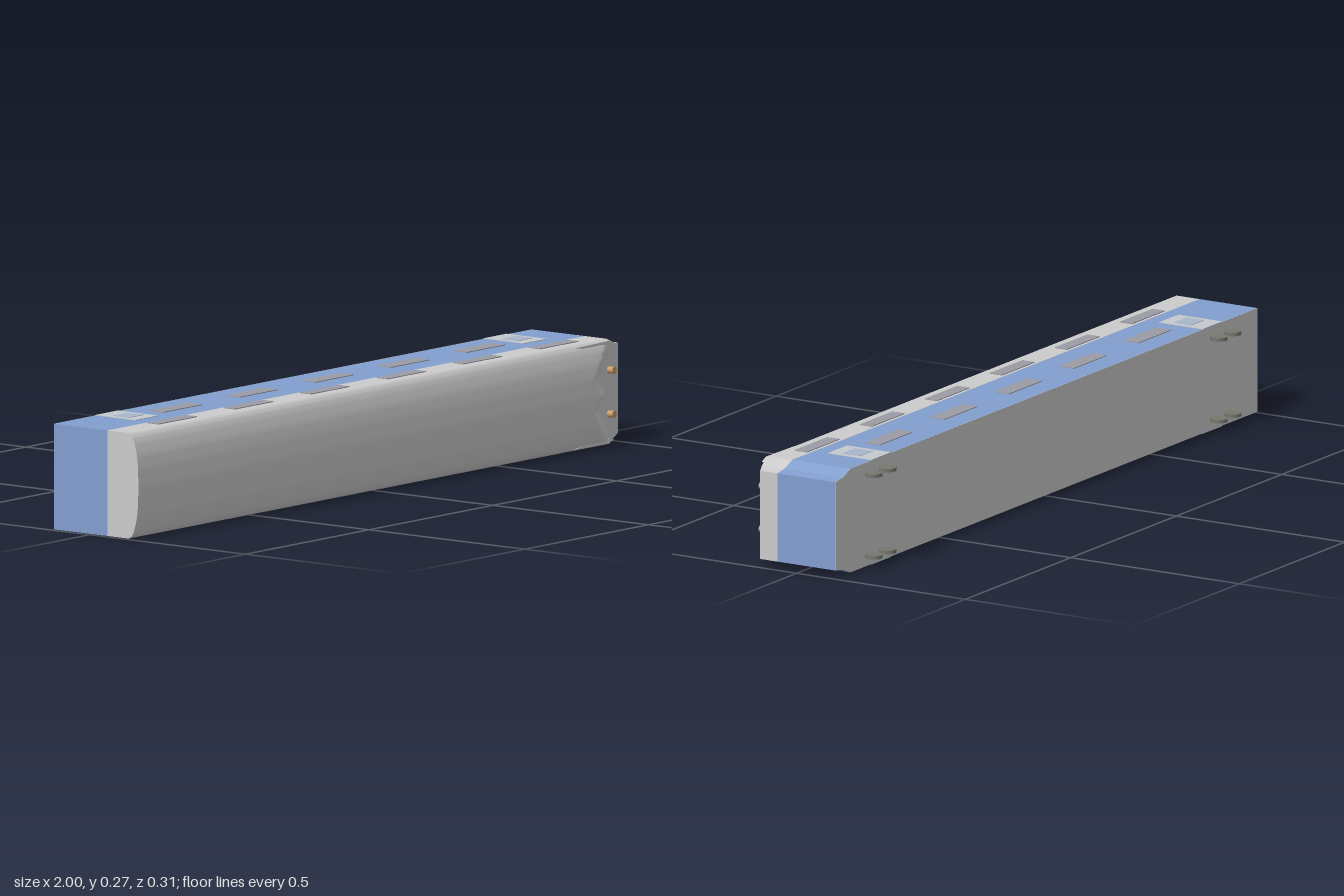
import * as THREE from 'three';
import { toCreasedNormals } from 'three/addons/utils/BufferGeometryUtils.js';

// Double-deck rail car lying on its side: length along x, roof towards +z, wheels towards -z.
const MID = 0.1375, HALF = 0.1345, BELT = 0.057, FLOOR = -0.115;
const mat = (color) => new THREE.MeshStandardMaterial({ color });
const grey = mat(0xcccccc), blue = mat(0x829fcf), glass = mat(0x9c9ca4);
const dark = mat(0x77776f), brass = mat(0xcc9966), door = mat(0xc4cace), doorGlass = mat(0xa9b6cc);

function add(parent, name, geometry, material, x = 0, y = 0, z = 0) {
  const mesh = new THREE.Mesh(geometry, material);
  mesh.name = name;
  mesh.position.set(x, y, z);
  parent.add(mesh);
  return mesh;
}

// linear interpolation through [x, value] pairs
function along(table, x) {
  for (let i = 1; i < table.length; i++) {
    const [x0, a] = table[i - 1], [x1, b] = table[i];
    if (x <= x1) return a + (b - a) * Math.max(0, (x - x0) / (x1 - x0));
  }
  return table[table.length - 1][1];
}

// plan half width narrows at the cab end
const plan = [[-1, HALF], [0.93, HALF], [0.965, 0.1195], [1, 0.1145]];
// domed roof height across the width, and the lowered cab deck along the length
const dome = [[0, 0.157], [0.35, 0.1557], [0.6, 0.152], [0.78, 0.146], [0.9, 0.14], [0.97, 0.133], [1, 0.125]];
const deck = [[0.8, 0.136], [0.94, 0.132], [0.97, 0.122], [1, 0.108]];

function roofHeight(x, w) {
  const a = Math.abs(w);
  const start = 0.84 + 0.06 * Math.min(1, Math.abs(a - 0.3) / 0.6);
  const t = THREE.MathUtils.smoothstep(x, start, start + 0.045);
  const high = along(dome, a);
  return THREE.MathUtils.lerp(high, Math.min(high, along(deck, x)), t);
}

// upper shell lofted from cross-sections along x
function upperShell() {
  const xs = [-1, -0.5, 0, 0.5, 0.78];
  for (let x = 0.8; x < 0.995; x += 0.01) xs.push(x);
  xs.push(1);
  const ws = [];
  for (let i = -20; i <= 20; i++) ws.push(Math.sin((i / 20) * Math.PI / 2));
  const n = ws.length + 2, pos = [], idx = [];
  for (const x of xs) {
    const h = along(plan, x);
    pos.push(x, MID - h, BELT);
    for (const w of ws) pos.push(x, MID + w * h, roofHeight(x, w));
    pos.push(x, MID + h, BELT);
  }
  for (let i = 0; i < xs.length - 1; i++) {
    for (let j = 0; j < n - 1; j++) {
      const a = i * n + j, b = a + n;
      idx.push(a, b, b + 1, a, b + 1, a + 1);
    }
  }
  // end caps fan out from the belt line
  const c = xs.length * n, last = (xs.length - 1) * n;
  pos.push(-1, MID, BELT, 1, MID, BELT);
  for (let j = 0; j < n - 1; j++) {
    idx.push(c, j, j + 1);
    idx.push(c + 1, last + j + 1, last + j);
  }
  const g = new THREE.BufferGeometry();
  g.setAttribute('position', new THREE.Float32BufferAttribute(pos, 3));
  g.setIndex(idx);
  return toCreasedNormals(g, 0.45);
}

export function createModel() {
  const model = new THREE.Group();
  model.name = 'railCar';

  // lower body with a grey underside
  const outline = new THREE.Shape([
    ...plan.map(([x, h]) => new THREE.Vector2(x, MID - h)),
    ...plan.slice().reverse().map(([x, h]) => new THREE.Vector2(x, MID + h)),
  ]);
  const slab = (depth) => new THREE.ExtrudeGeometry(outline, { depth, bevelEnabled: false });
  add(model, 'lowerBody', slab(BELT - FLOOR - 0.001), blue, 0, 0, FLOOR + 0.001);
  add(model, 'underside', slab(0.001), grey, 0, 0, FLOOR);
  const shell = add(model, 'upperBodyAndRoof', upperShell(), grey);
  shell.material = grey.clone();
  shell.material.side = THREE.DoubleSide;

  // windows and doors on both sides
  for (const s of [-1, 1]) {
    const panel = (name, m, x, z, w, h, out) =>
      add(model, name, new THREE.BoxGeometry(w, 0.006, h), m, x, MID + s * (HALF + out - 0.003), z);
    for (let i = 0; i < 6; i++) panel('upperWindow', glass, -0.77 + i * 0.308, 0.083, 0.155, 0.036, 0.002);
    for (let i = 0; i < 5; i++) panel('lowerWindow', glass, -0.613 + i * 0.306, -0.03, 0.155, 0.044, 0.002);
    for (const x of [-0.787, 0.783]) {
      panel('door', door, x, -0.05, 0.092, 0.13, 0.0015);
      panel('doorWindow', doorGlass, x, -0.045, 0.06, 0.052, 0.0025);
    }

    // wheels in pairs
    for (const x of [-0.85, -0.785, 0.785, 0.85]) {
      add(model, 'wheel', new THREE.CylinderGeometry(0.022, 0.022, 0.009, 24), dark, x, MID + s * 0.106, -0.135);
    }

    // horn and raised fairing at the cab end
    const horn = add(model, 'horn', new THREE.CylinderGeometry(0.009, 0.009, 0.018, 16), brass, 0.932, MID + s * 0.056, 0.141);
    horn.rotation.x = Math.PI / 2;
    const points = [[0.79, 0.129], [0.925, 0.131], [0.945, 0.122], [0.925, 0.117], [0.85, 0.117]];
    const fin = new THREE.Shape(points.map(([x, y]) => new THREE.Vector2(x, MID + s * y)));
    add(model, 'roofFairing', new THREE.ExtrudeGeometry(fin, { depth: 0.02, bevelEnabled: false }), grey, 0, 0, 0.118);
  }
  return model;
}
